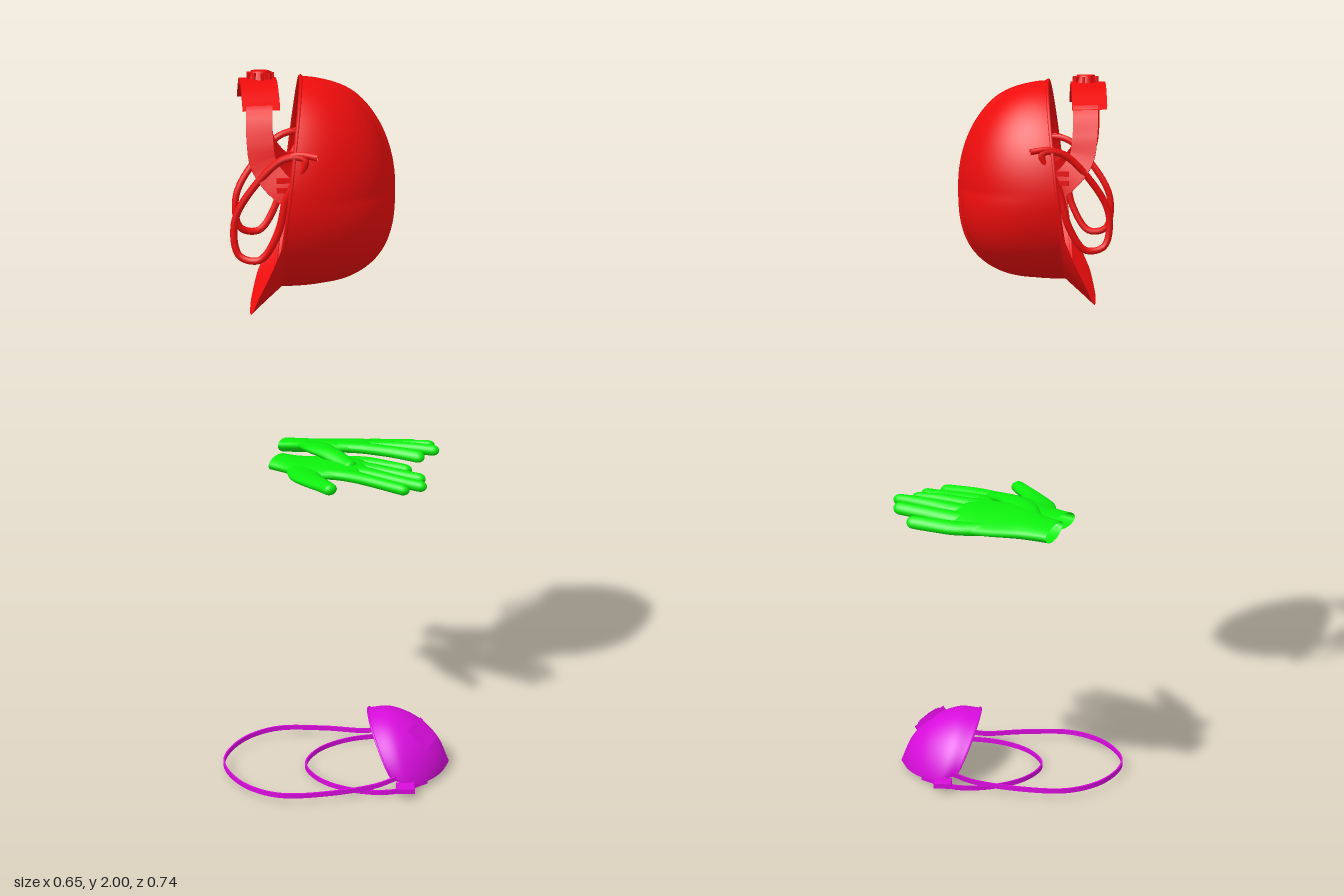
import * as THREE from 'three';
import { toCreasedNormals } from 'three/addons/utils/BufferGeometryUtils.js';

const V = (x, y, z) => new THREE.Vector3(x, y, z);
const paint = (color) => new THREE.MeshStandardMaterial({ color, side: THREE.DoubleSide });
const RED = paint(0xee0c0c), GREEN = paint(0x0cee0c), MAGENTA = paint(0xd80cdc);
const { lerp, smoothstep } = THREE.MathUtils;

function add(parent, name, geometry, material) {
  const m = new THREE.Mesh(geometry, material);
  m.name = name;
  parent.add(m);
  return m;
}

// Surface from fn(u, v) -> Vector3; wrap joins u = 1 back to u = 0
function grid(fn, nu, nv, wrap = false) {
  const pos = [], idx = [], cols = wrap ? nu : nu + 1;
  for (let j = 0; j <= nv; j++)
    for (let i = 0; i < cols; i++) pos.push(...fn(i / nu, j / nv).toArray());
  for (let j = 0; j < nv; j++)
    for (let i = 0; i < nu; i++) {
      const a = j * cols + i, b = j * cols + ((i + 1) % cols);
      idx.push(a, b, a + cols, b, b + cols, a + cols);
    }
  const g = new THREE.BufferGeometry();
  g.setAttribute('position', new THREE.Float32BufferAttribute(pos, 3));
  g.setIndex(idx);
  g.computeVertexNormals();
  return g;
}

// Flat strap along a path; normalAt(p) gives its thin direction
function strap(points, normalAt, width, thick, steps = 60) {
  const curve = new THREE.CatmullRomCurve3(points);
  const g = grid((u, v) => {
    const p = curve.getPoint(v), n = normalAt(p).normalize();
    const w = curve.getTangent(v).cross(n).normalize();
    const k = Math.round(u * 4);
    return p.addScaledVector(w, (k === 0 || k === 3 ? -0.5 : 0.5) * width)
      .addScaledVector(n, (k < 2 ? -0.5 : 0.5) * thick);
  }, 4, steps, true);
  return toCreasedNormals(g, 0.6);
}

// ---------- Helmet: crown toward +x, visor downward ----------
const CY = 1.70, CZ = 0.135;

function shellPoint(u, v) {
  const a = u * Math.PI * 2, t = v * Math.PI / 2, s = Math.sin(a);
  const n = 2.05 + 0.8 * Math.max(0, -s);
  const r = Math.pow(Math.max(0, Math.cos(t)), 2 / n), h = Math.pow(Math.sin(t), 2 / n);
  const dz = 0.232 * r * Math.cos(a);
  // central ridge, wider toward the top
  const ridgeW = 0.016 + 0.012 * Math.max(0, s * r);
  const ridge = 0.009 * Math.exp(-Math.pow(dz / ridgeW, 4)) * smoothstep(h, 0.15, 0.6);
  return V(lerp(-0.13 + 0.035 * s, 0.139, h) + ridge,
    CY + ((s > 0 ? 0.285 : 0.25) * r + ridge * 0.6 * r) * s, CZ - 0.015 * h + dz);
}

function visorPoint(u, v) {
  const a = -lerp(0.06, 0.94, u) * Math.PI;
  const inner = shellPoint(1 + a / (2 * Math.PI), 0.01);
  const c = Math.cos(a), s = Math.sin(a), e = 2 / 2.7;
  const z = CZ + 0.2 * Math.sign(c) * Math.pow(Math.abs(c), e);
  const y = 1.58 - 0.198 * Math.pow(Math.abs(s), e);
  const outer = V(-0.13 - 0.317 * (CY - y), y, z);
  const edge = smoothstep(Math.min(u, 1 - u), 0, 0.16);
  return inner.lerp(outer, v * edge);
}

function makeHelmet() {
  const g = new THREE.Group();
  g.name = 'helmet';
  add(g, 'helmetShell', grid(shellPoint, 144, 48, true), RED);
  add(g, 'helmetVisor', grid(visorPoint, 60, 8), RED);
  const rim = new THREE.CatmullRomCurve3(
    Array.from({ length: 48 }, (_, i) => shellPoint(i / 48, 0)), true);
  add(g, 'helmetRim', new THREE.TubeGeometry(rim, 96, 0.005, 6, true), RED);

  // Head band arching over the opening, with the adjuster at its middle
  const half = [[-0.07, 1.70, 0.2], [-0.14, 1.73, 0.198], [-0.19, 1.79, 0.18], [-0.2, 1.85, 0.165],
    [-0.2, 1.915, 0.135], [-0.2, 1.957, 0.07]];
  const side = (s) => half.map(([x, y, z]) => V(x, y, CZ + s * z));
  const radial = (p) => V(0, p.y - CY, p.z - CZ);
  add(g, 'headBand', strap([...side(-1), V(-0.2, 1.97, CZ), ...side(1).reverse()], radial, 0.065, 0.008, 90), RED);
  const cover = [-1, -0.5, 0, 0.5, 1].map((k) =>
    V(-0.203 + 0.008 * k, 1.974 - 0.05 * k * k, CZ + 0.14 * k - 0.004));
  add(g, 'bandAdjuster', strap(cover, radial, 0.092, 0.016, 30), RED);
  const knob = add(g, 'adjusterKnob',
    new THREE.CylinderGeometry(0.024, 0.033, 0.026, 18).toNonIndexed(), RED);
  knob.position.set(-0.197, 1.987, CZ - 0.003);
  for (let i = 0; i < 9; i++) {
    const a = i / 9 * Math.PI * 2;
    const grip = add(g, 'knobGrip', new THREE.BoxGeometry(0.016, 0.022, 0.007), RED);
    grip.position.set(-0.197 + 0.027 * Math.cos(a), 1.985, CZ - 0.003 - 0.027 * Math.sin(a));
    grip.rotation.y = a;
  }

  // Strap loop and clip on each side
  const loop = [[-0.09, 1.81], [-0.14, 1.81], [-0.215, 1.74], [-0.265, 1.65], [-0.255, 1.565],
    [-0.205, 1.555], [-0.16, 1.62], [-0.135, 1.715]];
  for (const s of [-1, 1]) {
    const at = ([x, y]) => V(x, y, CZ + s * (0.17 + 0.24 * (x + 0.28)));
    const c = new THREE.CatmullRomCurve3(loop.map(at), true);
    add(g, 'strapLoop', new THREE.TubeGeometry(c, 70, 0.0095, 8, true), RED);
    const arm = new THREE.CatmullRomCurve3([[-0.16, 1.80], [-0.11, 1.82], [-0.06, 1.815]].map(at));
    add(g, 'loopArm', new THREE.TubeGeometry(arm, 12, 0.008, 8), RED);
    for (const dy of [-0.012, 0.012]) {
      const clip = add(g, 'bandClip', new THREE.BoxGeometry(0.06, 0.012, 0.012), RED);
      clip.position.set(-0.13, 1.745 + dy, CZ + s * 0.205);
    }
  }
  return g;
}

// ---------- Gloves ----------
// Tapering limb with a rounded tip; points are [x, z, half width]
function limb(points, maxH, lift) {
  const c = new THREE.CatmullRomCurve3(points.map(([x, z, w]) => V(x, z, w)));
  const [, , endW] = points[points.length - 1];
  const v0 = 1 - Math.min(0.5, endW / c.getLength());
  return grid((u, k) => {
    const v = 1 - Math.pow(1 - k, 1.6), a = u * Math.PI * 2;
    const p = c.getPoint(v), t = c.getTangent(v), len = Math.hypot(t.x, t.y);
    const tip = v > v0 ? Math.sqrt(Math.max(0, 1 - ((v - v0) / (1 - v0)) ** 2)) : 1;
    const w = p.z * tip * Math.cos(a), h = Math.min(p.z * 0.95, maxH) * tip * Math.sin(a);
    const x = p.x - t.y / len * w, z = p.y + t.x / len * w;
    return V(x, lift(x, z) + h, z);
  }, 20, 28, true);
}

function makeGlove(name, lift) {
  const g = new THREE.Group();
  g.name = name;
  const parts = {
    palm: [[-0.138, -0.322, 0.049], [-0.09, -0.3, 0.055], [-0.04, -0.277, 0.071], [0.02, -0.259, 0.083],
      [0.08, -0.25, 0.079], [0.135, -0.243, 0.068]],
    littleFinger: [[0.05, -0.308, 0.02], [0.12, -0.307, 0.022], [0.18, -0.295, 0.019], [0.254, -0.279, 0.015]],
    ringFinger: [[0.05, -0.28, 0.02], [0.12, -0.262, 0.022], [0.2, -0.24, 0.019], [0.297, -0.211, 0.016]],
    middleFinger: [[0.04, -0.245, 0.02], [0.11, -0.225, 0.023], [0.2, -0.19, 0.019], [0.304, -0.148, 0.016]],
    indexFinger: [[0.02, -0.205, 0.025], [0.08, -0.187, 0.023], [0.16, -0.15, 0.02], [0.258, -0.108, 0.017]],
    thumb: [[-0.07, -0.26, 0.035], [-0.045, -0.2, 0.042], [-0.01, -0.14, 0.03], [0.025, -0.095, 0.024],
      [0.052, -0.058, 0.019]],
  };
  for (const [part, pts] of Object.entries(parts))
    add(g, part, limb(pts, part === 'palm' ? 0.021 : 0.016, lift), GREEN);
  return g;
}

// ---------- Face mask ----------
const MZ = 0.077;
// Arches from the open back to the front: top x, top y, base x, base y, half width
const ARCHES = [[0.09, 0.17, 0.15, 0.04, 0.155], [0.155, 0.175, 0.19, 0.026, 0.158],
  [0.235, 0.143, 0.245, 0.016, 0.127], [0.293, 0.085, 0.293, 0.012, 0.073], [0.325, 0.014, 0.325, 0.01, 0.002]];
const archTop = new THREE.CatmullRomCurve3(ARCHES.map((a) => V(a[0], a[1], 0)));
const archBase = new THREE.CatmullRomCurve3(ARCHES.map((a) => V(a[2], a[3], a[4])));

function maskPoint(u, v) {
  const phi = u * Math.PI, s = Math.sin(phi), t = archTop.getPoint(v), b = archBase.getPoint(v);
  return V(lerp(b.x, t.x, s), lerp(b.y, t.y, Math.pow(s, 1.15)), MZ + b.z * Math.cos(phi));
}

function makeMask() {
  const g = new THREE.Group();
  g.name = 'faceMask';
  add(g, 'maskCup', grid(maskPoint, 48, 36), MAGENTA);
  const edge = new THREE.CatmullRomCurve3(Array.from({ length: 25 }, (_, i) => maskPoint(i / 24, 0)));
  add(g, 'maskEdge', new THREE.TubeGeometry(edge, 48, 0.003, 6), MAGENTA);

  // Square valve lying on the cup's surface
  const [u, v] = [0.37, 0.53], p = maskPoint(u, v);
  const n = maskPoint(u, v + 0.02).sub(p).cross(maskPoint(u + 0.02, v).sub(p)).normalize();
  if (n.y < 0) n.negate();
  const valve = new THREE.Group();
  valve.name = 'valve';
  valve.position.copy(p);
  valve.lookAt(p.clone().add(n));
  g.add(valve);
  add(valve, 'valveBase', new THREE.BoxGeometry(0.074, 0.074, 0.014), MAGENTA);
  add(valve, 'valveCap', new THREE.BoxGeometry(0.054, 0.054, 0.022), MAGENTA);
  for (let i = -2; i <= 2; i++)
    add(valve, 'valveSlat', new THREE.BoxGeometry(0.042, 0.005, 0.027), MAGENTA).position.y = i * 0.01;

  // Elastic straps: long one behind, short one below
  const elastic = (name, half, end) => {
    const side = (s) => half.map(([x, y, z]) => V(x, y, MZ + s * z));
    add(g, name, strap([...side(1), V(end[0], end[1], MZ), ...side(-1).reverse()],
      (q) => V(q.x + 0.02, 0, (q.z - MZ) * 1.5), 0.014, 0.005, 100), MAGENTA);
  };
  elastic('longStrap', [[0.16, 0.045, 0.156], [0.1, 0.028, 0.166], [-0.03, 0.024, 0.195], [-0.165, 0.024, 0.2],
    [-0.25, 0.024, 0.155], [-0.305, 0.024, 0.08]], [-0.326, 0.024]);
  elastic('shortStrap', [[0.25, 0.015, 0.122], [0.15, 0.008, 0.165], [0.04, 0.007, 0.15], [-0.05, 0.007, 0.09]],
    [-0.09, 0.007]);
  for (const s of [-1, 1])
    add(g, 'strapTab', new THREE.BoxGeometry(0.05, 0.014, 0.04), MAGENTA)
      .position.set(0.185, 0.024, MZ + s * 0.175);
  return g;
}

export function createModel() {
  const model = new THREE.Group();
  model.name = 'safetyGear';
  model.add(makeHelmet());
  // One glove draped over the other
  model.add(makeGlove('upperGlove', (x, z) =>
    0.851 + 0.036 * smoothstep(z, -0.36, -0.17) - 0.015 * smoothstep(z, -0.15, -0.06)));
  const lower = makeGlove('lowerGlove', (x) => 0.847 + 0.012 * smoothstep(x, -0.1, 0.06) - 0.012 * smoothstep(x, 0.1, 0.3));
  const turn = -0.155, c = Math.cos(turn), s = Math.sin(turn);
  lower.rotation.y = turn;
  // carries the cuff centre to its place beside the upper glove
  lower.position.set(-0.16 - (-0.138 * c - 0.322 * s), 0, -0.192 - (0.138 * s - 0.322 * c));
  model.add(lower, makeMask());
  return model;
}
